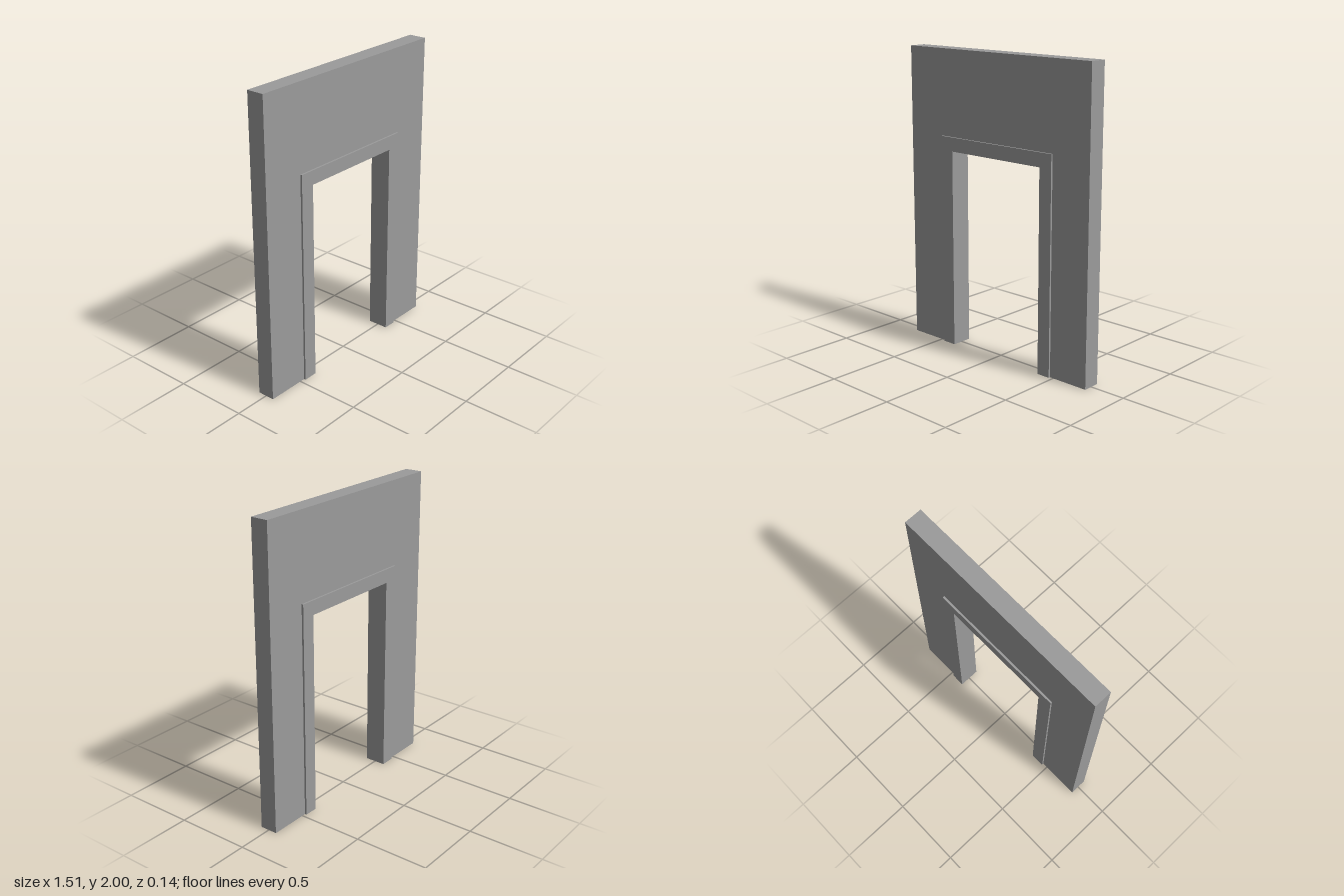
import * as THREE from 'three';

const material = new THREE.MeshStandardMaterial({ color: 0x9b9b9b });

// Upside-down U outline standing on the ground, extruded evenly about z = 0
function portal(name, outer, inner, depth) {
  const [ol, or, ot] = outer;
  const [il, ir, it] = inner;
  const points = [[ol, 0], [il, 0], [il, it], [ir, it], [ir, 0], [or, 0], [or, ot], [ol, ot]];
  const shape = new THREE.Shape(points.map(([x, y]) => new THREE.Vector2(x, y)));
  const geometry = new THREE.ExtrudeGeometry(shape, { depth, bevelEnabled: false });
  geometry.translate(0, 0, -depth / 2);
  const mesh = new THREE.Mesh(geometry, material);
  mesh.name = name;
  return mesh;
}

export function createModel() {
  const group = new THREE.Group();
  group.name = 'doorwayWall';

  // Each outline: left x, right x, top y
  const wallEdge = [-0.757, 0.757, 2];
  const trimEdge = [-0.464, 0.475, 1.43];
  const opening = [-0.367, 0.382, 1.337];

  // Wall panel around the door frame
  group.add(portal('wall', wallEdge, trimEdge, 0.118));
  // Door frame, standing slightly proud of both wall faces
  group.add(portal('doorFrame', trimEdge, opening, 0.143));

  return group;
}
